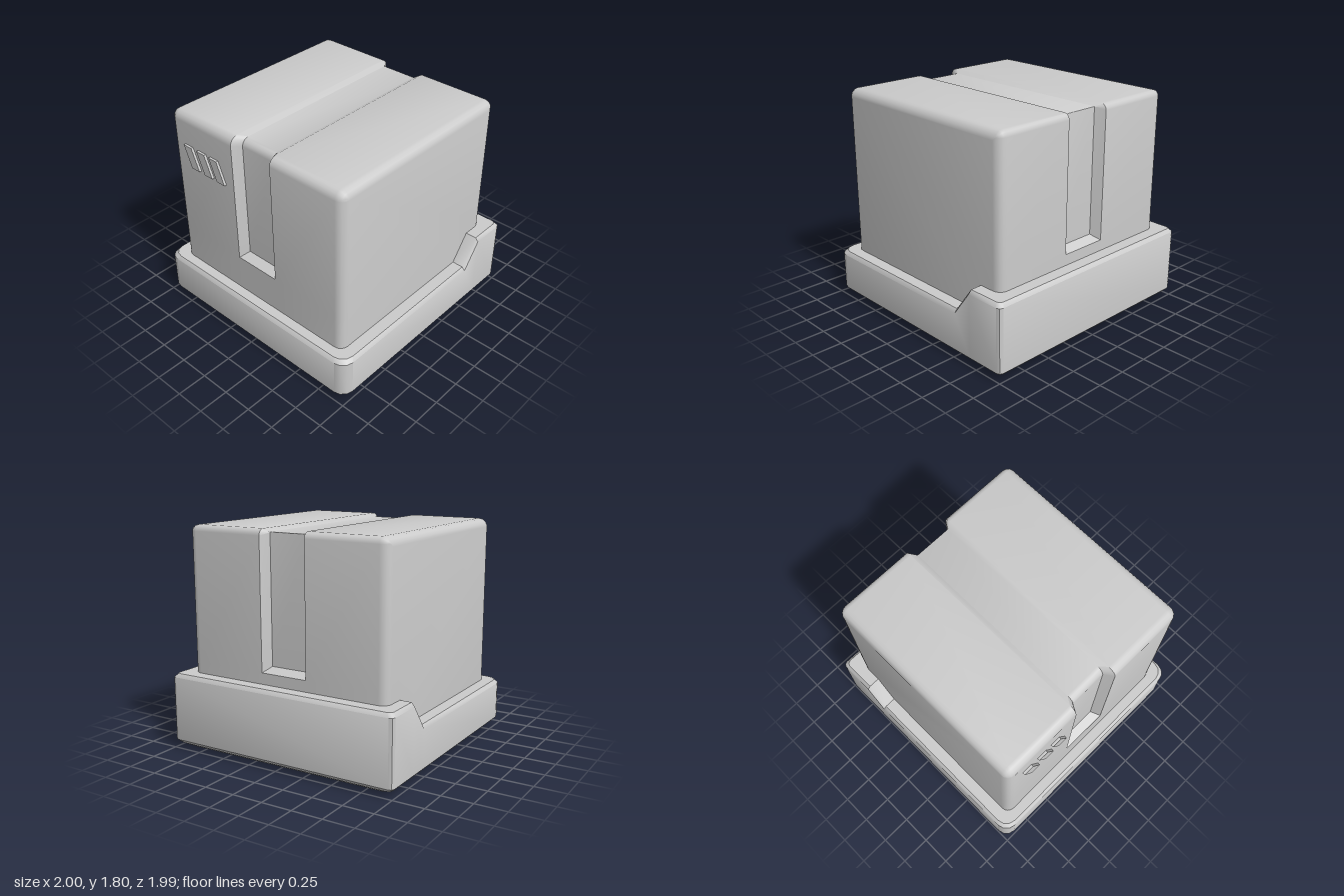
import * as THREE from 'three';
import { toCreasedNormals } from 'three/addons/utils/BufferGeometryUtils.js';

const grey = new THREE.MeshStandardMaterial({ color: 0xcccccc });

// Skin a series of closed rings of [x, y, z]; caps are fans over the end rings.
function loft(rings, capStart, capEnd, crease) {
  const pos = [];
  const A = new THREE.Vector3(), B = new THREE.Vector3(), C = new THREE.Vector3();
  const tri = (a, b, c) => {
    A.fromArray(a); B.fromArray(b).sub(A); C.fromArray(c).sub(A);
    if (B.cross(C).length() > 1e-8) pos.push(...a, ...b, ...c);
  };
  const n = rings[0].length;
  for (let i = 0; i < rings.length - 1; i++) {
    for (let j = 0; j < n; j++) {
      const k = (j + 1) % n;
      const a = rings[i][j], b = rings[i][k], c = rings[i + 1][k], d = rings[i + 1][j];
      tri(a, b, d);
      tri(b, c, d);
    }
  }
  const first = rings[0], last = rings[rings.length - 1];
  for (let j = 1; j < n - 1; j++) {
    if (capStart) tri(first[0], first[j + 1], first[j]);
    if (capEnd) tri(last[0], last[j], last[j + 1]);
  }
  const g = new THREE.BufferGeometry();
  g.setAttribute('position', new THREE.Float32BufferAttribute(pos, 3));
  return toCreasedNormals(g, crease);
}

function part(name, geometry) {
  const mesh = new THREE.Mesh(geometry, grey);
  mesh.name = name;
  return mesh;
}

// Points of a quarter arc about (cx, cy) from angle a to b.
function arc(cx, cy, r, a, b, steps = 4) {
  return Array.from({ length: steps + 1 }, (_, i) => {
    const t = a + (b - a) * i / steps;
    return [cx + r * Math.cos(t), cy + r * Math.sin(t)];
  });
}

const H = Math.PI / 2;

// Side profile of the case at one x: front, back and top planes with rounded top corners.
function caseSection(x, { front, back, top, rf, rb, lipFront = front, lipBack = back, lipY = 0.71 }) {
  return [
    ...arc(front - rf, top - rf, rf, H, 0),
    [front, lipY], [lipFront, 0.71],
    [lipFront, 0.3], [lipBack, 0.3],
    [lipBack, 0.71], [back, lipY],
    ...arc(back + rb, top - rb, rb, Math.PI, H),
  ].map(([z, y]) => [x, y, z]);
}

// Case: swept across x, with a groove over front, top and back.
function caseGeometry() {
  const R = 0.07;
  const full = (x, d = 0) => caseSection(x, {
    front: 0.885 - d, back: -0.875 + d, top: 1.8 - d,
    rf: Math.max(R - d, 0), rb: Math.max(0.05 - d, 0),
  });
  const groove = x => caseSection(x, {
    front: 0.81, back: -0.8, top: 1.775, rf: 0.06, rb: 0.005,
    lipFront: 0.885, lipBack: -0.875, lipY: 0.75,
  });
  const fillet = arc(0.88 - R, 0, R, 0, H);
  const rings = [
    ...fillet.map(([x, y]) => full(-x, R - y)),
    full(-0.2), groove(-0.155), groove(0.155), full(0.2),
    ...fillet.reverse().map(([x, y]) => full(x, R - y)),
  ];
  return loft(rings, true, true, 0.6);
}

// Base outline at inset d: large front corners, small back corners.
function baseOutline(d) {
  const w = 1 - d, f = 0.99 - d, b = 1 - d, rf = 0.1, rb = 0.035;
  const half = [
    ...arc(w - rf, f - rf, rf, H, 0, 3),
    [w, -0.52], [w, -0.68],
    ...arc(w - rb, -b + rb, rb, 0, -H, 2),
  ];
  return [...half, ...half.map(([x, z]) => [-x, z]).reverse()];
}

// Base: chamfered tray whose rim steps up at the back.
function baseGeometry() {
  const rim = z => 0.405 + 0.215 * THREE.MathUtils.clamp((-0.52 - z) / 0.16, 0, 1);
  const flat = (d, y) => baseOutline(d).map(([x, z]) => [x, y, z]);
  const top = (d, drop) => baseOutline(d).map(([x, z]) => [x, rim(z) - drop, z]);
  return loft([
    flat(0.1, 0), flat(0.03, 0.04), flat(0, 0.07),
    top(0, 0.03), top(0.025, 0), top(0.135, 0),
  ], true, false, 0.7);
}

// Slanted raised vent slat.
function ventGeometry() {
  const s = new THREE.Shape([[0, 1.54], [0.075, 1.358], [0.161, 1.358], [0.086, 1.54]]
    .map(p => new THREE.Vector2(...p)));
  return new THREE.ExtrudeGeometry(s, { depth: 0.04, bevelEnabled: false });
}

export function createModel() {
  const model = new THREE.Group();
  model.name = 'groovedCase';
  model.add(part('case', caseGeometry()), part('base', baseGeometry()));

  const vents = new THREE.Group();
  vents.name = 'vents';
  const slat = ventGeometry();
  [-0.73, -0.583, -0.445].forEach((x, i) => {
    const v = part('ventSlat' + (i + 1), slat);
    v.position.set(x, 0, 0.865);
    vents.add(v);
  });
  model.add(vents);
  return model;
}
